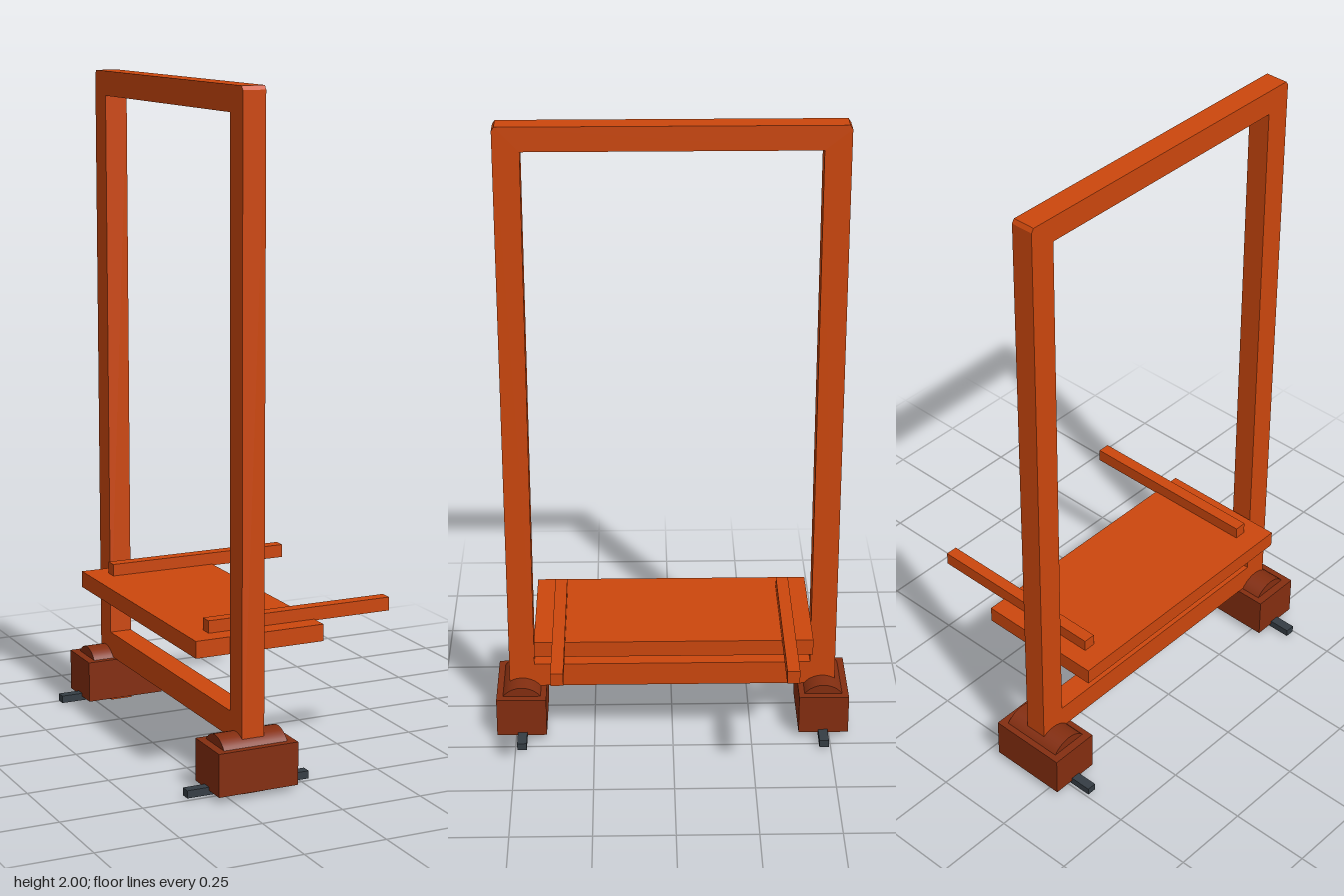
import * as THREE from 'three';

const orange = new THREE.MeshStandardMaterial({ color: 0xcc470d });
orange.name = 'orange paint';
const brown = new THREE.MeshStandardMaterial({ color: 0x842e10 });
brown.name = 'rust brown';
const steel = new THREE.MeshStandardMaterial({ color: 0x353d44 });
steel.name = 'dark steel';

function add(parent, name, geometry, material) {
  const mesh = new THREE.Mesh(geometry, material);
  mesh.name = name;
  parent.add(mesh);
  return mesh;
}

// Box given by its minimum and maximum on each axis
function box(parent, name, material, [x0, x1], [y0, y1], [z0, z1]) {
  const geometry = new THREE.BoxGeometry(x1 - x0, y1 - y0, z1 - z0);
  geometry.translate((x0 + x1) / 2, (y0 + y1) / 2, (z0 + z1) / 2);
  return add(parent, name, geometry, material);
}

const points = (list) => list.map(([z, y]) => new THREE.Vector2(z, y));

export function createModel() {
  const model = new THREE.Group();
  model.name = 'rollingFrame';

  // Upright frame: two posts, a chamfered top bar and a low cross bar
  const outline = new THREE.Shape(points([
    [-0.52, 0], [-0.44, 0], [-0.44, 0.147], [0.44, 0.147], [0.44, 0], [0.52, 0],
    [0.52, 1.988], [0.512, 2], [-0.512, 2], [-0.52, 1.988],
  ]));
  outline.holes.push(new THREE.Path(points([
    [-0.44, 0.225], [-0.44, 1.925], [0.44, 1.925], [0.44, 0.225],
  ])));
  const frame = new THREE.ExtrudeGeometry(outline, { depth: 0.07, bevelEnabled: false });
  frame.rotateY(-Math.PI / 2).translate(-0.131, 0, 0);
  add(model, 'uprightFrame', frame, orange);

  // Deck
  box(model, 'deck', orange, [-0.302, 0.106], [0.389, 0.44], [-0.428, 0.428]);

  for (const side of [1, -1]) {
    const label = side > 0 ? 'front' : 'back';
    const span = (a, b) => (side > 0 ? [a, b] : [-b, -a]);

    // Carrying arm resting on the deck
    box(model, label + 'Arm', orange, [-0.235, 0.356], [0.436, 0.477], span(0.332, 0.37));

    // Foot: housing, rounded drum rising through its top, and a ground bar
    const foot = new THREE.Group();
    foot.name = label + 'Foot';
    box(foot, 'housing', brown, [-0.292, -0.042], [0.017, 0.145], span(0.402, 0.56));
    const drum = new THREE.CylinderGeometry(0.075, 0.075, 0.2, 32);
    drum.rotateZ(Math.PI / 2).translate(-0.167, 0.1, side * 0.48);
    add(foot, 'drum', drum, brown);
    box(foot, 'groundBar', steel, [-0.36, 0.026], [0.004, 0.027], span(0.464, 0.494));
    model.add(foot);
  }
  return model;
}
